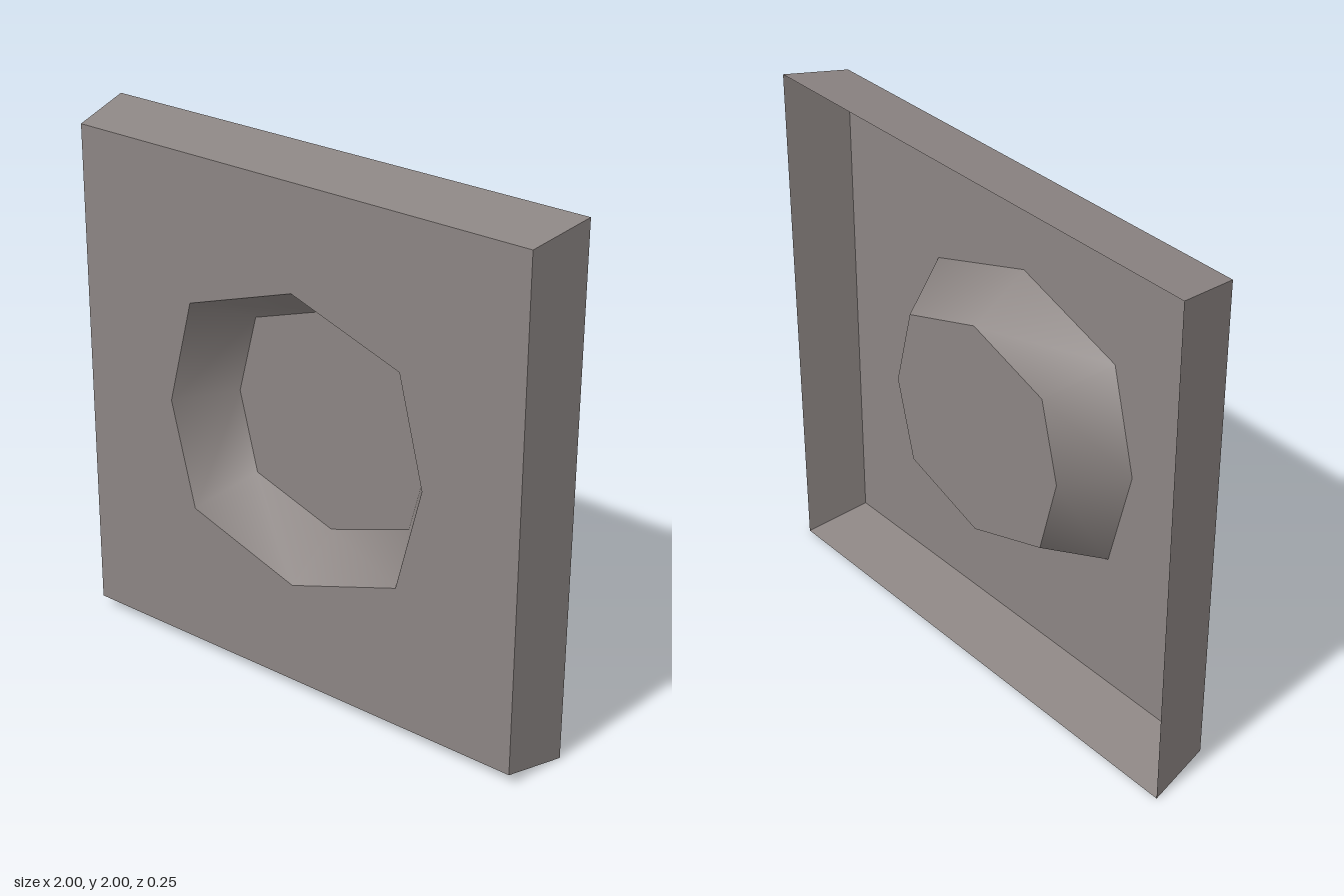
import * as THREE from 'three';

const FRONT = 0.125, BACK = -0.125, FLOOR = -0.097;

// Counter-clockwise outlines centred on the origin
const square = (h) => [[h, -h], [h, h], [-h, h], [-h, -h]].map((p) => new THREE.Vector2(...p));
const octagon = (r, dx, dy) => [[r, 0], [dx, dy], [0, r], [-dx, dy], [-r, 0], [-dx, -dy], [0, -r], [dx, -dy]]
  .map((p) => new THREE.Vector2(...p));

// Band of quads joining two outlines at different depths
function band(frontLoop, frontZ, backLoop, backZ, smooth) {
  const n = frontLoop.length, pos = [], index = [];
  frontLoop.forEach((p) => pos.push(p.x, p.y, frontZ));
  backLoop.forEach((p) => pos.push(p.x, p.y, backZ));
  for (let i = 0; i < n; i++) {
    const j = (i + 1) % n;
    index.push(i, n + i, n + j, i, n + j, j);
  }
  let geo = new THREE.BufferGeometry();
  geo.setAttribute('position', new THREE.Float32BufferAttribute(pos, 3));
  geo.setIndex(index);
  if (!smooth) geo = geo.toNonIndexed();
  geo.computeVertexNormals();
  return geo;
}

export function createModel() {
  const group = new THREE.Group();
  group.name = 'recessedPanel';
  const stone = new THREE.MeshStandardMaterial({ color: 0x8c8583, side: THREE.DoubleSide });
  stone.name = 'warmGrey';

  const add = (name, geo, z = 0) => {
    const mesh = new THREE.Mesh(geo, stone);
    mesh.name = name;
    mesh.position.set(0, 1, z);
    group.add(mesh);
  };

  const face = square(0.957), rim = square(1);
  const mouth = octagon(0.5625, 0.46, 0.406), base = octagon(0.428, 0.349, 0.309);

  // Front plate with the octagonal opening
  const plate = new THREE.Shape(face);
  plate.holes.push(new THREE.Path([...mouth].reverse()));
  add('frontPlate', new THREE.ShapeGeometry(plate), FRONT);

  // Flared sides, open at the back
  add('flaredSides', band(face, FRONT, rim, BACK, false));

  // Tapered recess: smooth wall facing inward, and its floor
  add('recessWall', band([...mouth].reverse(), FRONT, [...base].reverse(), FLOOR, true));
  add('recessFloor', new THREE.ShapeGeometry(new THREE.Shape(base)), FLOOR);

  return group;
}
